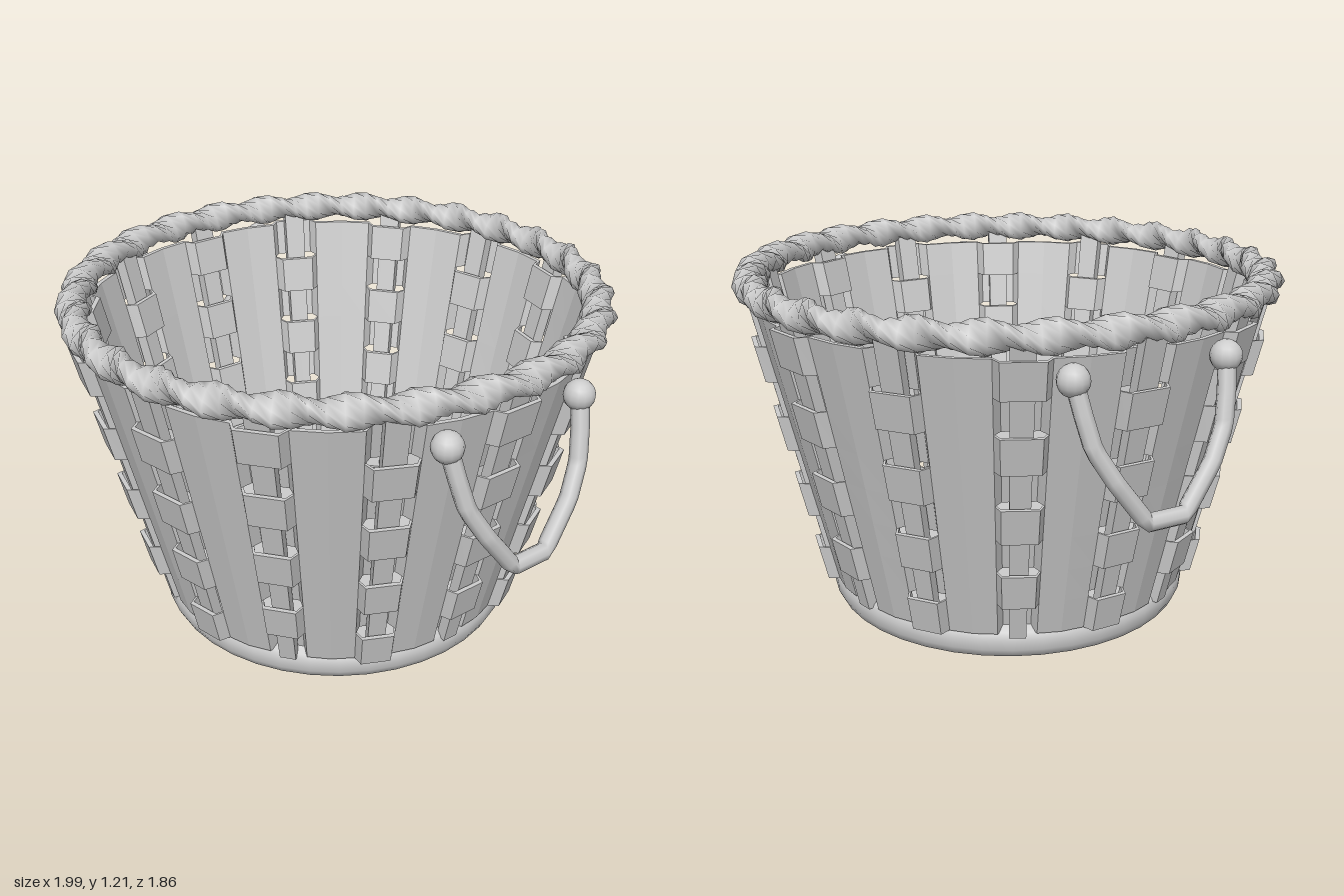
import * as THREE from 'three';

const STAVES = 14, ROWS = 8, Y0 = 0.1, Y1 = 1.09;
const STEP = (Math.PI * 2) / STAVES;
const wallRadius = (y) => 0.605 + 0.235 * y;

// Skins a list of cross-section loops; closed joins last to first, otherwise the ends are capped.
function skin(loops, closed) {
  const pos = [];
  const quad = (a, b, c, d) => [a, b, c, a, c, d].forEach((p) => pos.push(...p));
  const n = loops[0].length;
  for (let i = 0; i < loops.length - (closed ? 0 : 1); i++) {
    const A = loops[i], B = loops[(i + 1) % loops.length];
    for (let j = 0; j < n; j++) {
      const k = (j + 1) % n;
      quad(A[j], A[k], B[k], B[j]);
    }
  }
  if (!closed) {
    const A = loops[0], B = loops[loops.length - 1];
    quad(A[3], A[2], A[1], A[0]);
    quad(B[0], B[1], B[2], B[3]);
  }
  const g = new THREE.BufferGeometry();
  g.setAttribute('position', new THREE.Float32BufferAttribute(pos, 3));
  g.computeVertexNormals();
  return g;
}

const polar = (r, y, a) => [r * Math.cos(a), y, r * Math.sin(a)];

// Rectangular section of a sloping strip at angle a, shifted outward by off
function section(a, y0, y1, off, t) {
  const r0 = wallRadius(y0) + off, r1 = wallRadius(y1) + off;
  return [polar(r0 - t, y0, a), polar(r0 + t, y0, a), polar(r1 + t, y1, a), polar(r1 - t, y1, a)];
}

// One woven band, passing alternately outside and inside the staves
function weaveRow(row) {
  const h = (Y1 - Y0) / ROWS;
  const y0 = Y0 + row * h, y1 = y0 + h;
  const loops = [];
  for (let k = 0; k < STAVES; k++) {
    const off = (k + row) % 2 === 1 ? 0.036 : -0.036;
    const stations = [[-0.1, 0], [-0.075, off], [0.075, off], [0.1, 0], [STEP / 2, 0.004]];
    for (const [da, o] of stations) loops.push(section(k * STEP + da, y0, y1, o, 0.008));
  }
  return skin(loops.reverse().map((l) => l.slice().reverse()).reverse().map((l) => l.reverse()), true);
}

// Twisted rope rim: an oval section turning as it runs round the circle
function ropeRim() {
  const SEG = 112, SIDES = 10, TURNS = 14;
  const pos = [], idx = [];
  for (let i = 0; i < SEG; i++) {
    const a = (i / SEG) * Math.PI * 2, tw = a * TURNS;
    for (let j = 0; j < SIDES; j++) {
      const s = (j / SIDES) * Math.PI * 2;
      const u = 0.062 * Math.cos(s), v = 0.04 * Math.sin(s);
      const dr = u * Math.cos(tw) - v * Math.sin(tw);
      const dy = u * Math.sin(tw) + v * Math.cos(tw);
      pos.push(...polar(0.868 + dr, 1.153 + dy * 0.93, a));
      const i2 = (i + 1) % SEG, j2 = (j + 1) % SIDES;
      const p = i * SIDES + j, q = i * SIDES + j2, r = i2 * SIDES + j2, t = i2 * SIDES + j;
      idx.push(p, q, r, p, r, t);
    }
  }
  const g = new THREE.BufferGeometry();
  g.setAttribute('position', new THREE.Float32BufferAttribute(pos, 3));
  g.setIndex(idx);
  g.computeVertexNormals();
  return g;
}

export function createModel() {
  const basket = new THREE.Group();
  basket.name = 'basket';
  const paleGrey = new THREE.MeshStandardMaterial({ color: 0xcccccc });
  paleGrey.name = 'paleGrey';
  const add = (geometry, name, parent = basket) => {
    const m = new THREE.Mesh(geometry, paleGrey);
    m.name = name;
    parent.add(m);
    return m;
  };

  // Base: flat underside and floor, rounded edge
  const edge = [[0.6, 0], [0.622, 0.012], [0.636, 0.04], [0.638, 0.075], [0.628, 0.1], [0.608, 0.118], [0.59, 0.12]];
  add(new THREE.LatheGeometry(edge.map(([x, y]) => new THREE.Vector2(x, y)), 40), 'baseEdge');
  add(new THREE.CircleGeometry(0.6, 40).rotateX(Math.PI / 2), 'underside');
  add(new THREE.CircleGeometry(0.6, 40).rotateX(-Math.PI / 2).translate(0, 0.11, 0), 'floor');

  // Upright staves
  const staves = new THREE.Group();
  staves.name = 'staves';
  basket.add(staves);
  for (let k = 0; k < STAVES; k++) {
    const a = k * STEP;
    add(skin([section(a - 0.043, 0.09, 1.13, 0, 0.02), section(a + 0.043, 0.09, 1.13, 0, 0.02)], false), 'stave', staves);
  }

  // Woven bands
  const weave = new THREE.Group();
  weave.name = 'weave';
  basket.add(weave);
  for (let row = 0; row < ROWS; row++) add(weaveRow(row), 'weaveRow', weave);

  add(ropeRim(), 'ropeRim');

  // Hanging handles with round knobs
  const half = [[0.875, 1.03, 0.265], [0.9, 0.94, 0.25], [0.925, 0.84, 0.228], [0.952, 0.74, 0.17], [0.968, 0.6, 0.065]];
  for (const side of [1, -1]) {
    const handle = new THREE.Group();
    handle.name = side > 0 ? 'leftHandle' : 'rightHandle';
    basket.add(handle);
    const path = new THREE.CurvePath();
    const pts = [...half, ...half.slice().reverse().map(([x, y, z]) => [x, y, -z])]
      .map(([x, y, z]) => new THREE.Vector3(x * side, y, z * side));
    for (let i = 1; i < pts.length; i++) path.add(new THREE.LineCurve3(pts[i - 1], pts[i]));
    add(new THREE.TubeGeometry(path, 36, 0.029, 8, false), 'handleBar', handle);
    for (const z of [0.265, -0.265]) {
      add(new THREE.SphereGeometry(0.05, 14, 10), 'handleKnob', handle).position.set(0.87 * side, 1.035, z);
    }
  }
  return basket;
}
